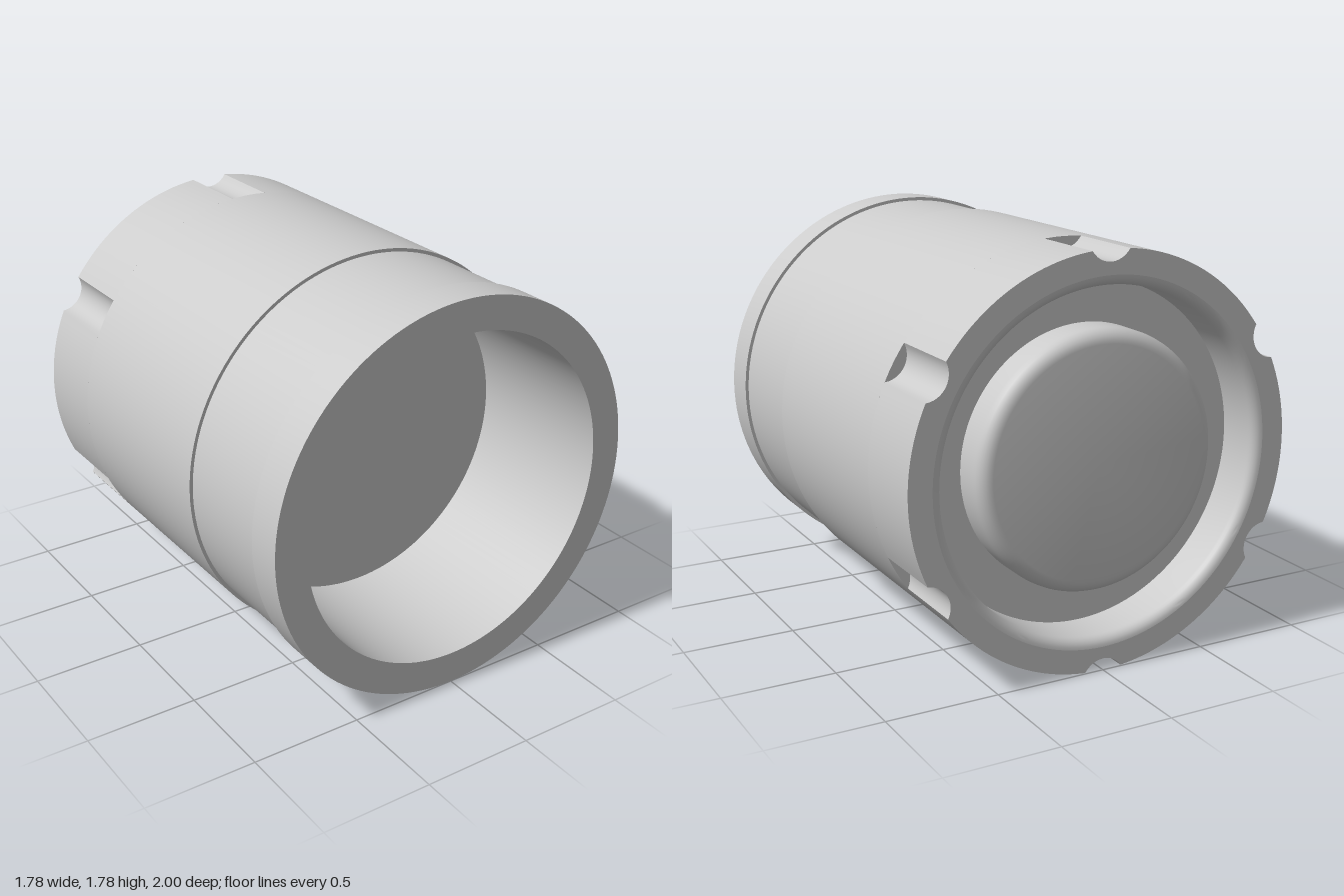
import * as THREE from 'three';
import { toCreasedNormals } from 'three/addons/utils/BufferGeometryUtils.js';

const R = 0.89;          // outer radius, also height of the axis
const NOTCH_Z = -0.63;   // front end of the notches
const RIM = 0.785;       // inner radius of the rear rim face
const SEGMENTS = 144;

const material = new THREE.MeshStandardMaterial({ color: 0xcccccc });

function addMesh(group, name, geometry) {
  const mesh = new THREE.Mesh(toCreasedNormals(geometry, 0.5), material);
  mesh.name = name;
  mesh.position.y = R;
  group.add(mesh);
}

// Revolve [radius, z] pairs around the z axis
function revolve(profile) {
  const points = profile.map(([r, z]) => new THREE.Vector2(r, z));
  return new THREE.LatheGeometry(points, SEGMENTS).rotateX(Math.PI / 2);
}

// Quarter-round points from angle a to b
function fillet(cr, cz, radius, a, b, steps = 6) {
  return Array.from({ length: steps + 1 }, (_, i) => {
    const t = a + ((b - a) * i) / steps;
    return [cr + radius * Math.cos(t), cz + radius * Math.sin(t)];
  });
}

// Circle outline with six scooped notches
function notchedOutline() {
  const halfWidth = 0.087, depth = 0.052;
  const half = Math.asin(halfWidth / R);
  const chord = R * Math.cos(half);
  const d = depth - (R - chord);
  const rc = (halfWidth ** 2 + d ** 2) / (2 * d);
  const centre = chord - d + rc;
  const sweep = Math.asin(halfWidth / rc);
  const points = [];
  for (let n = 0; n < 6; n++) {
    const angle = Math.PI / 6 + (n * Math.PI) / 3;
    // scoop, from its clockwise edge to its other edge
    for (let i = 0; i <= 12; i++) {
      const t = -sweep + (2 * sweep * i) / 12;
      const p = new THREE.Vector2(centre - rc * Math.cos(t), rc * Math.sin(t));
      points.push(p.rotateAround(new THREE.Vector2(), angle));
    }
    // plain rim up to the next scoop
    for (let i = 1; i < 20; i++) {
      const t = angle + half + ((Math.PI / 3 - 2 * half) * i) / 20;
      points.push(new THREE.Vector2(R * Math.cos(t), R * Math.sin(t)));
    }
  }
  return points;
}

export function createModel() {
  const group = new THREE.Group();
  group.name = 'cylinderHousing';

  // Main body: outer wall with a shallow band, front rim and deep bore
  addMesh(group, 'body', revolve([
    [RIM, NOTCH_Z], [R, NOTCH_Z],
    [R, 0.335], [0.875, 0.335], [0.875, 0.83], [R, 0.83],
    [R, 1], [0.743, 1], [0.743, 0.27], [0, 0.27],
  ]));

  // Notched rear collar
  const shape = new THREE.Shape(notchedOutline());
  const hole = [];
  for (let i = 0; i < SEGMENTS; i++) {
    const t = (-2 * Math.PI * i) / SEGMENTS;
    hole.push(new THREE.Vector2(RIM * Math.cos(t), RIM * Math.sin(t)));
  }
  shape.holes.push(new THREE.Path(hole));
  const collar = new THREE.ExtrudeGeometry(shape, { depth: NOTCH_Z + 1, bevelEnabled: false });
  addMesh(group, 'notchedCollar', collar.translate(0, 0, -1));

  // Rear recess with a rounded lip and a rounded central boss
  addMesh(group, 'rearRecessAndBoss', revolve([
    [0, -0.96],
    ...fillet(0.5, -0.9, 0.06, -Math.PI / 2, 0),
    [0.56, -0.79], [0.74, -0.79],
    ...fillet(RIM, -0.955, 0.045, Math.PI, Math.PI * 1.5),
  ]));

  return group;
}
